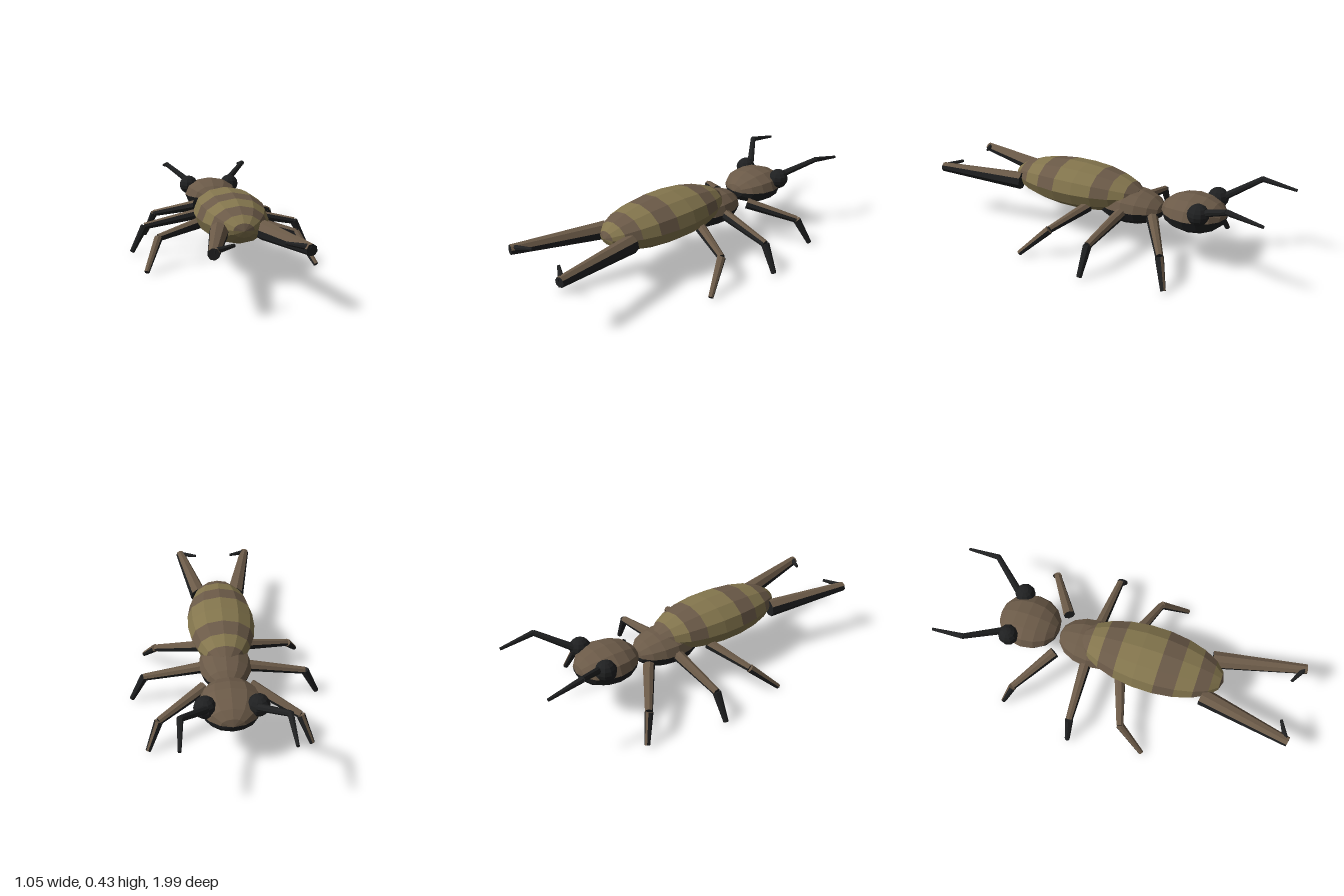
import * as THREE from 'three';

const flat = (name, color) => {
  const m = new THREE.MeshStandardMaterial({ color, flatShading: true });
  m.name = name;
  return m;
};

export function createModel() {
  const model = new THREE.Group();
  const brown = flat('brown shell', 0x6b5a48);
  const olive = flat('olive shell', 0x83754d);
  const black = flat('black', 0x1f2021);

  // Splits a geometry into two material groups by a test on each face's centre and normal
  function addPainted(name, geometry, matA, matB, test) {
    const p = geometry.toNonIndexed().getAttribute('position');
    const tri = new THREE.Triangle();
    const mid = new THREE.Vector3(), normal = new THREE.Vector3();
    const sets = [[], []];
    for (let i = 0; i < p.count; i += 3) {
      tri.setFromAttributeAndIndices(p, i, i + 1, i + 2);
      if (tri.getArea() < 1e-9) continue;
      tri.getMidpoint(mid);
      tri.getNormal(normal);
      const target = sets[test(mid, normal) ? 0 : 1];
      for (const v of [tri.a, tri.b, tri.c]) target.push(v.x, v.y, v.z);
    }
    const out = new THREE.BufferGeometry();
    out.setAttribute('position', new THREE.Float32BufferAttribute([...sets[0], ...sets[1]], 3));
    out.addGroup(0, sets[0].length / 3, 0);
    out.addGroup(sets[0].length / 3, sets[1].length / 3, 1);
    out.computeVertexNormals();
    const mesh = new THREE.Mesh(out, [matA, matB]);
    mesh.name = name;
    model.add(mesh);
  }

  // Ellipsoid with its poles along z
  const ellipsoid = (rx, ry, rz, y, z, rings) =>
    new THREE.SphereGeometry(1, 12, rings).rotateX(Math.PI / 2).scale(rx, ry, rz).translate(0, y, z);

  // Tapered eight-sided rod between two points
  function rod(a, b, ra, rb) {
    const from = new THREE.Vector3(...a), to = new THREE.Vector3(...b);
    const dir = to.clone().sub(from);
    const length = dir.length();
    const q = new THREE.Quaternion().setFromUnitVectors(new THREE.Vector3(0, 1, 0), dir.normalize());
    const g = new THREE.CylinderGeometry(rb, ra, length, 8);
    g.applyQuaternion(q);
    return g.translate(...from.add(to).multiplyScalar(0.5).toArray());
  }

  // Abdomen: olive, with brown bands over the upper half
  const bands = [0, 2, 4, 7, 9, 10];
  addPainted('abdomen', ellipsoid(0.19, 0.128, 0.41, 0.29, 0.17, 11), brown, olive, (c) => {
    const t = THREE.MathUtils.clamp((c.z - 0.17) / 0.41, -1, 1);
    return c.y > 0.29 && bands.includes(Math.floor((Math.acos(t) * 11) / Math.PI));
  });

  // Thorax and head: brown above, black below
  addPainted('thorax', ellipsoid(0.143, 0.098, 0.2, 0.233, -0.17, 8), brown, black, (c) => c.y > 0.233);
  addPainted('head', ellipsoid(0.16, 0.1, 0.175, 0.27, -0.545, 8), brown, black, (c) => c.y > 0.27);

  // Base, knee and foot of each leg on the left side
  const legs = [
    ['front', [0.12, 0.235, -0.36], [0.36, 0.16, -0.525], [0.42, 0.015, -0.58]],
    ['middle', [0.12, 0.225, -0.175], [0.44, 0.163, -0.16], [0.515, 0.015, -0.155]],
    ['rear', [0.13, 0.22, 0.03], [0.38, 0.16, 0.115], [0.455, 0.015, 0.265]],
  ];
  const top = (c, n) => n.y > 0.4;

  for (const s of [1, -1]) {
    const side = s > 0 ? 'left' : 'right';
    const m = ([x, y, z]) => [x * s, y, z];
    const addBlack = (name, geometry) => {
      const mesh = new THREE.Mesh(geometry, black);
      mesh.name = `${side} ${name}`;
      model.add(mesh);
    };

    // Legs
    for (const [name, base, knee, foot] of legs) {
      addPainted(`${side} ${name} thigh`, rod(m(base), m(knee), 0.032, 0.02), brown, black, top);
      const shin = rod(m(knee), m(foot), 0.023, 0.014);
      if (name === 'middle') addBlack('middle shin', shin);
      else addPainted(`${side} ${name} shin`, shin, brown, black, top);
    }

    // Eye and bent antenna
    addBlack('eye', new THREE.SphereGeometry(0.057, 10, 8).translate(0.13 * s, 0.318, -0.62));
    addBlack('antenna base', rod(m([0.12, 0.33, -0.65]), m([0.25, 0.422, -0.815]), 0.02, 0.015));
    addBlack('antenna tip', rod(m([0.25, 0.422, -0.81]), m([0.257, 0.392, -0.998]), 0.016, 0.008));

    // Tail pincer with a small inward hook
    addPainted(`${side} pincer`, rod(m([0.11, 0.272, 0.49]), m([0.213, 0.297, 0.99]), 0.05, 0.027),
      brown, black, (c, n) => n.y > 0.2);
    addBlack('pincer hook', rod(m([0.215, 0.305, 0.98]), m([0.113, 0.315, 0.925]), 0.016, 0.008));
  }
  return model;
}
